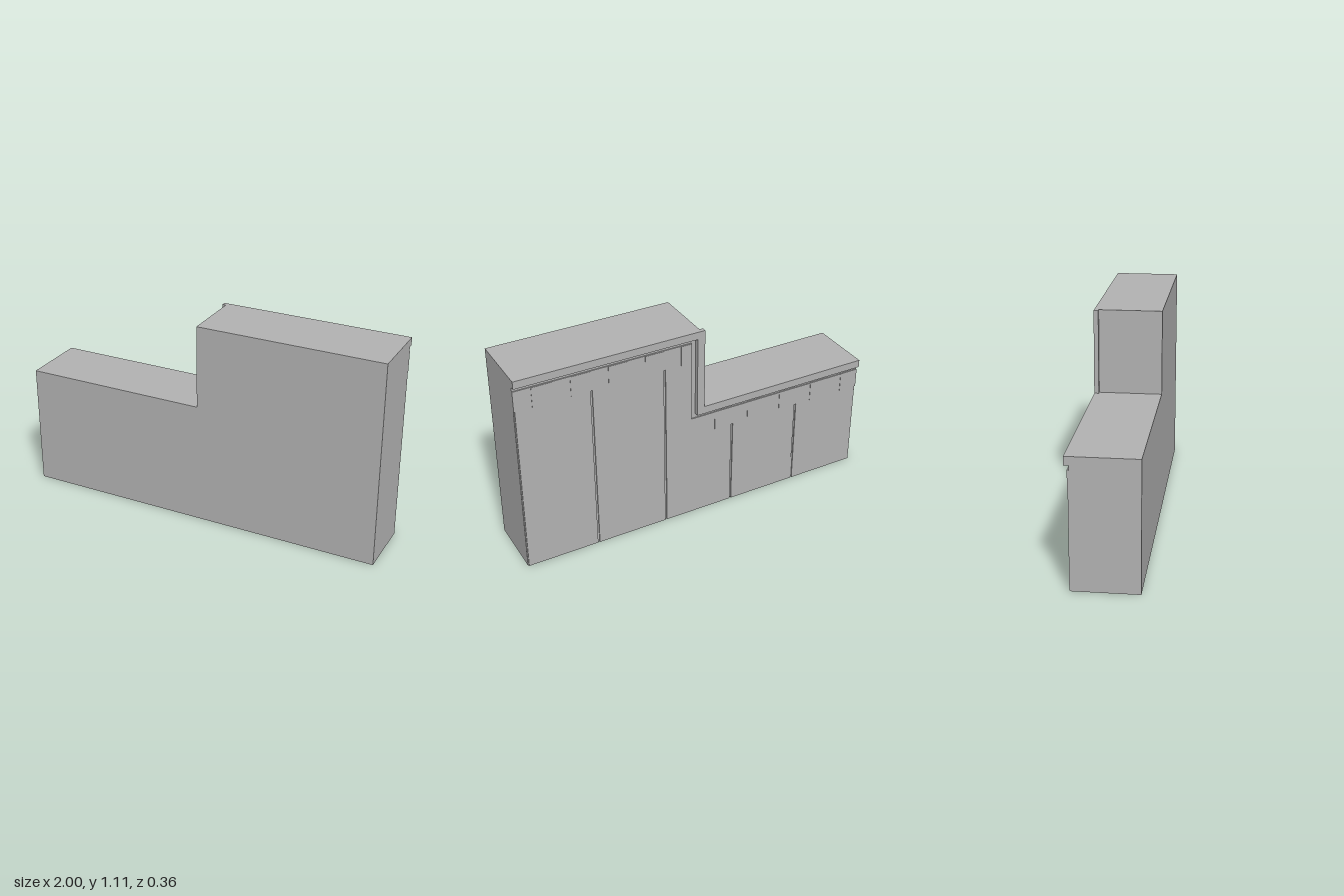
import * as THREE from 'three';

const FRONT = 0.178, CORE_BACK = -0.154, PANEL_BACK = -0.16, CORNICE_BACK = -0.178;
const LOW_TOP = 0.667, HIGH_TOP = 1.114;

export function createModel() {
  const group = new THREE.Group();
  const grey = new THREE.MeshStandardMaterial({ color: 0xb2b2b2 });
  grey.name = 'plain grey';

  // Extrudes an outline in x/y between two depths
  function slab(name, points, zBack, zFront) {
    const shape = new THREE.Shape(points.map(([x, y]) => new THREE.Vector2(x, y)));
    const geo = new THREE.ExtrudeGeometry(shape, { depth: zFront - zBack, bevelEnabled: false });
    geo.translate(0, 0, zBack);
    const mesh = new THREE.Mesh(geo, grey);
    mesh.name = name;
    group.add(mesh);
  }

  // Stepped block: low half on -x, tall half on +x
  slab('body', [[-1, 0], [1, 0], [1, HIGH_TOP], [0, HIGH_TOP], [0, LOW_TOP], [-1, LOW_TOP]],
    CORE_BACK, FRONT);

  // Back facing, with narrow seams rising from the ground to the foot of the small panels
  const half = 0.005, lowSill = 0.493, highSill = 0.938;
  const facing = [];
  for (let i = 0; i <= 5; i++) {
    const x = -1 + i * 0.4;
    const sill = x < 0 ? lowSill : highSill;
    if (i > 0) facing.push([x - half, 0], [x - half, sill]);
    if (i === 5) facing.push([1, sill]);
    if (i === 0) facing.push([-1, sill]);
    if (i < 5) facing.push([x + half, sill], [x + half, 0]);
  }
  facing.push([1, 1.049], [0.046, 1.049], [0.046, 0.6], [-1, 0.6]);
  slab('backFacing', facing, PANEL_BACK, CORE_BACK);

  // Cornice following the step along the back edge
  slab('cornice', [[-1, 0.624], [0.022, 0.624], [0.022, 1.073], [1, 1.073], [1, HIGH_TOP],
    [-0.02, HIGH_TOP], [-0.02, LOW_TOP], [-1, LOW_TOP]], CORNICE_BACK, CORE_BACK);

  // Row of small raised panels below the cornice, five on each level
  for (let i = 0; i < 10; i++) {
    const right = 0.8 - i * 0.2;
    const left = right + 0.107;
    const x0 = i === 4 ? 0.046 : right;
    const y0 = i < 5 ? highSill : lowSill;
    slab('smallPanel' + (i + 1),
      [[x0, y0], [left, y0], [left, y0 + 0.109], [x0, y0 + 0.109]],
      PANEL_BACK - 0.002, CORE_BACK - 0.001);
  }

  return group;
}
